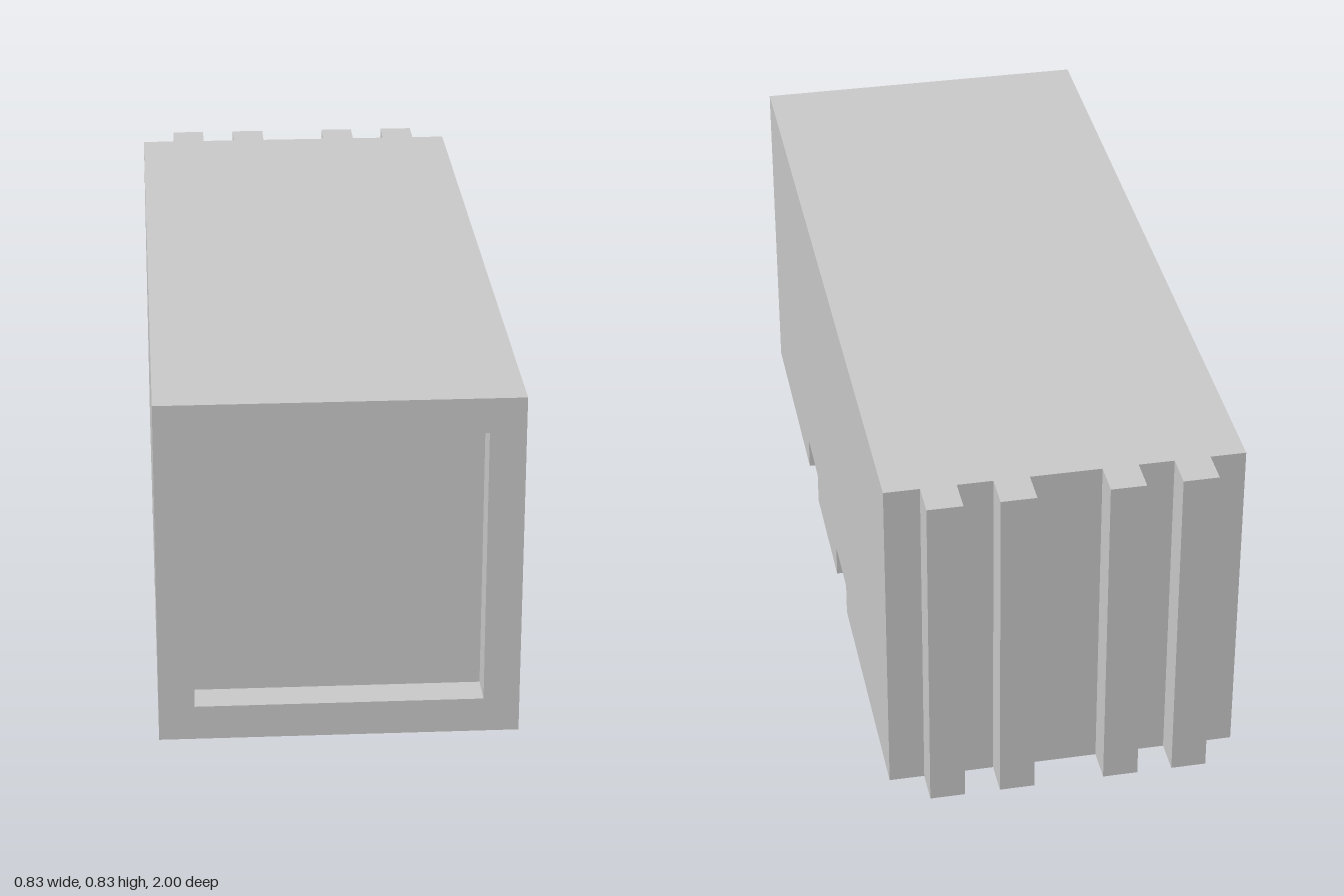
import * as THREE from 'three';

const U = 1 / 12; // module size: every dimension is a multiple of this
const W = 10 * U, H = 10 * U;

export function createModel() {
  const group = new THREE.Group();
  const material = new THREE.MeshStandardMaterial({ color: 0xcccccc, flatShading: true });
  const add = (name, geometry, x = 0, y = 0, z = 0) => {
    const mesh = new THREE.Mesh(geometry, material);
    mesh.name = name;
    mesh.position.set(x, y, z);
    group.add(mesh);
  };

  // Body: side profile (horizontal axis is -z) with two slots cut across the underside
  const side = new THREE.Shape();
  side.moveTo(-11 * U, 0);
  for (const [start, end] of [[-5, -3], [1, 3]]) {
    side.lineTo(start * U, 0);
    side.lineTo(start * U, U);
    side.lineTo(end * U, U);
    side.lineTo(end * U, 0);
  }
  side.lineTo(11 * U, 0);
  side.lineTo(11 * U, H);
  side.lineTo(-11 * U, H);
  side.closePath();
  const body = new THREE.ExtrudeGeometry(side, { depth: W, bevelEnabled: false });
  body.translate(0, 0, -W / 2).rotateY(Math.PI / 2);
  add('body', body);

  // Front frame around the shallow square recess
  const rect = (path, x, y0, y1) => {
    path.moveTo(-x, y0);
    path.lineTo(x, y0);
    path.lineTo(x, y1);
    path.lineTo(-x, y1);
    path.closePath();
    return path;
  };
  const frame = rect(new THREE.Shape(), W / 2, 0, H);
  frame.holes.push(rect(new THREE.Path(), 4 * U, U, 9 * U));
  add('frontFrame', new THREE.ExtrudeGeometry(frame, { depth: U, bevelEnabled: false }), 0, 0, 11 * U);

  // Vertical ribs on the back, mirrored left and right
  for (const s of [-1, 1]) {
    for (const x of [1.5, 3.5]) {
      add('backRib', new THREE.BoxGeometry(U, H, U), s * x * U, H / 2, -11.5 * U);
    }
  }
  return group;
}
